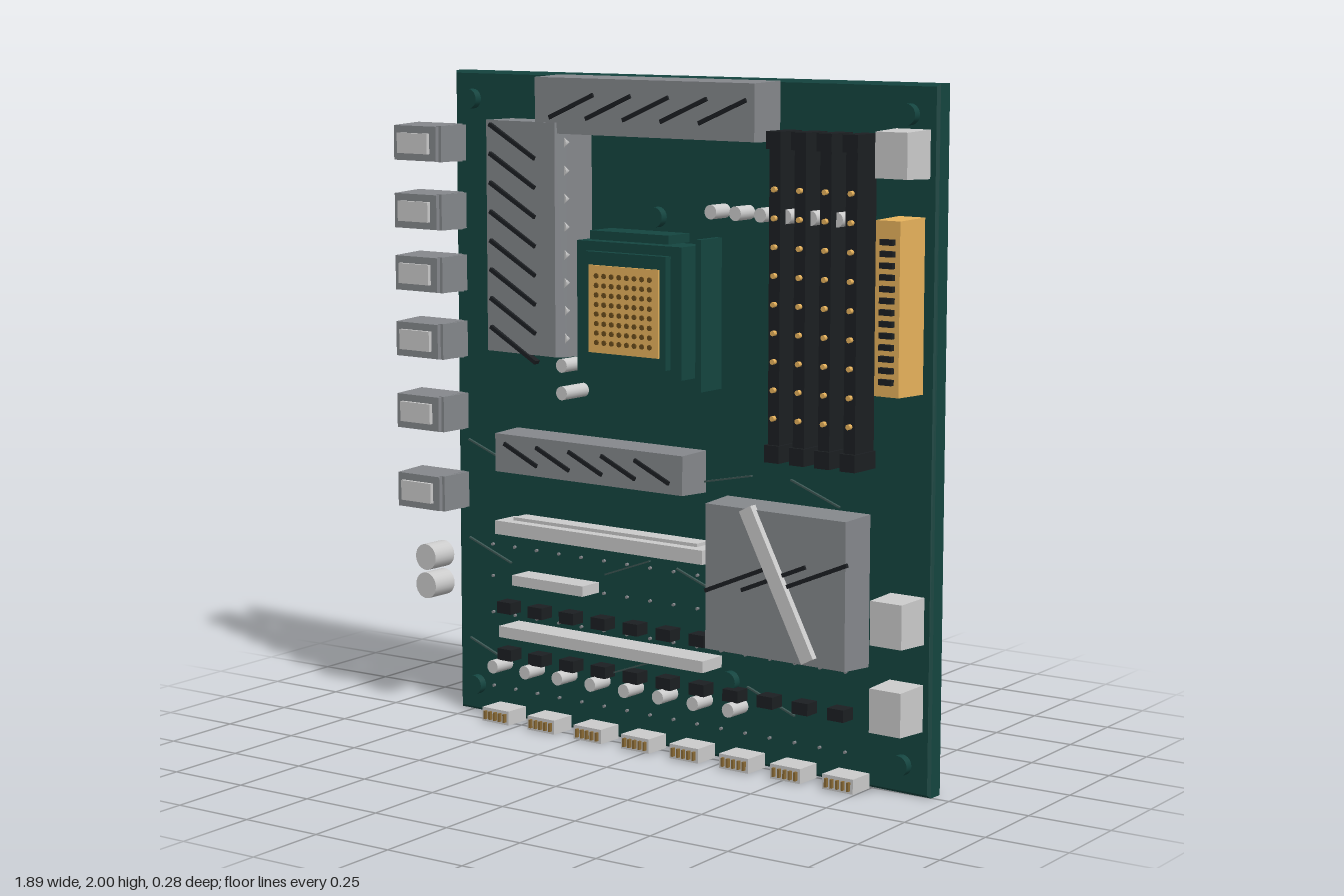
import * as THREE from 'three';
import { mergeGeometries } from 'three/addons/utils/BufferGeometryUtils.js';

const TILT = 0.0524, CX = 0.0715;
const GREY = 0xcccccc, METAL = 0x85888c, TEAL = 0x144540, DARK = 0x1c1f22, GOLD = 0xe8b35c;

export function createModel() {
  const model = new THREE.Group();
  model.name = 'motherboard';
  // tilted frame whose z = 0 is the front face of the board
  const frame = new THREE.Group();
  frame.name = 'tiltedBoard';
  frame.position.set(CX, 0, -0.035);
  frame.rotation.y = -TILT;
  model.add(frame);

  const range = (n, f) => Array.from({ length: n }, (_, i) => f(i));
  const place = (g, x, y, z, rot = 0) => g.rotateZ(rot).translate(x - CX + TILT * z, y, z);

  // block from depth z0 to z1 with its front face shrunk by inset
  const block = (x, y, w, h, z0, z1, inset = 0, rot = 0) => {
    const g = new THREE.BoxGeometry(w, h, z1 - z0);
    const p = g.attributes.position;
    if (inset) {
      for (let i = 0; i < p.count; i++) {
        if (p.getZ(i) > 0) {
          p.setX(i, p.getX(i) * (1 - 2 * inset / w));
          p.setY(i, p.getY(i) * (1 - 2 * inset / h));
        }
      }
      g.computeVertexNormals();
    }
    return place(g, x, y, (z0 + z1) / 2, rot);
  };
  // upright cylinder standing off the board
  const post = (x, y, r, z0, z1, sides = 16) =>
    place(new THREE.CylinderGeometry(r, r, z1 - z0, sides).rotateX(Math.PI / 2), x, y, (z0 + z1) / 2);

  const part = (name, color, ...geos) => {
    const mesh = new THREE.Mesh(mergeGeometries(geos.flat()),
      new THREE.MeshStandardMaterial({ color }));
    mesh.name = name;
    frame.add(mesh);
    return mesh;
  };

  // board with a fine bevel
  const B = 0.008, hw = 0.873 - B;
  const outline = new THREE.Shape([[-hw, B], [hw, B], [hw, 2 - B], [-hw, 2 - B]]
    .map(([x, y]) => new THREE.Vector2(x, y)));
  part('board', TEAL, new THREE.ExtrudeGeometry(outline, {
    depth: 0.062 - 2 * B, bevelSize: B, bevelThickness: B, bevelSegments: 1,
  }).translate(0, 0, -0.062 + B));

  // mounting screws
  part('screws', TEAL, [[-0.727, 1.915], [0.853, 1.915], [-0.727, 0.085], [0.853, 0.085],
    [-0.015, 1.59], [0.255, 0.24]].map(([x, y]) => post(x, y, 0.03, -0.01, 0.025, 20)));

  // upper heat sink
  part('upperHeatSink', METAL, block(0.012, 1.91, 0.805, 0.172, 0, 0.12, 0.004));
  part('upperHeatSinkFins', DARK, range(5, i => block(-0.25 + i * 0.137, 1.91, 0.18, 0.012, 0.11, 0.126, 0, 0.4)));

  // side heat sink: sloped profile run vertically
  const profile = new THREE.Shape([[-0.58, 0], [-0.27, 0], [-0.285, 0.1], [-0.31, 0.125], [-0.58, 0.118]]
    .map(([x, z]) => new THREE.Vector2(x - CX, -z)));
  part('sideHeatSink', METAL, new THREE.ExtrudeGeometry(profile, { depth: 0.695, bevelEnabled: false })
    .rotateX(-Math.PI / 2).translate(0.005, 1.165, 0));
  part('sideHeatSinkFins', DARK, range(8, i => block(-0.475, 1.8 - i * 0.087, 0.2, 0.012, 0.11, 0.13, 0, -0.5)));

  // lower heat sink
  part('lowerHeatSink', METAL, block(-0.203, 0.853, 0.72, 0.125, 0, 0.11, 0.004));
  part('lowerHeatSinkFins', DARK, range(5, i => block(-0.46 + i * 0.125, 0.855, 0.14, 0.012, 0.1, 0.117, 0, -0.42)));

  // chipset heat sink with crossing bar
  part('chipsetHeatSink', METAL, block(0.484, 0.57, 0.498, 0.44, 0, 0.115, 0.006));
  part('chipsetFins', DARK, [[0.35, 0.575], [0.48, 0.593], [0.62, 0.615]]
    .map(([x, y]) => block(x, y, 0.24, 0.012, 0.11, 0.122, 0, 0.4)));
  part('chipsetBar', GREY, block(0.5, 0.58, 0.045, 0.47, 0.11, 0.135, 0, 0.485));

  // processor socket
  part('processorSocket', TEAL, block(-0.043, 1.325, 0.386, 0.386, 0, 0.11), block(-0.043, 1.325, 0.3, 0.33, 0.11, 0.135),
    block(-0.05, 1.535, 0.29, 0.026, 0, 0.1), block(0.202, 1.322, 0.02, 0.44, 0, 0.1));
  part('processorPlate', GOLD, block(-0.043, 1.323, 0.257, 0.257, 0.13, 0.143));
  part('processorContacts', 0x6b4d1c, range(64, i =>
    post(-0.141 + (i % 8) * 0.028, 1.225 + Math.floor(i / 8) * 0.028, 0.008, 0.14, 0.147, 8)));

  // memory slots with end latches and contacts
  const slotX = range(4, i => 0.465 + i * 0.086);
  part('memorySlots', DARK, slotX.map(x => [block(x, 1.393, 0.038, 0.9, 0, 0.095),
    block(x, 1.835, 0.05, 0.05, 0, 0.105), block(x, 0.948, 0.05, 0.05, 0, 0.105)]).flat());
  part('memoryContacts', GOLD, slotX.map(x => range(9, i => post(x, 1.05 + i * 0.081, 0.008, 0.09, 0.108, 8))).flat());

  // rear ports overhanging the board edge
  const portY = [1.78, 1.572, 1.38, 1.175, 0.95, 0.702];
  part('rearPorts', METAL, portY.map(y => [block(-0.858, y, 0.18, 0.116, 0.01, 0.128, 0.005),
    block(-0.772, y, 0.02, 0.11, 0, 0.115)]).flat());
  part('portInserts', GREY, portY.map(y => block(-0.863, y, 0.122, 0.062, 0.12, 0.14)));
  part('audioJacks', GREY, [0.49, 0.4].map(y => post(-0.857, y, 0.041, 0.012, 0.1, 24)));

  // right edge connectors
  part('edgeConnectors', GREY, [1.808, 0.507, 0.257].map(y => block(0.86, y, 0.112, 0.135, 0, 0.11, 0.004)));
  part('powerConnector', GOLD, block(0.859, 1.39, 0.085, 0.49, 0, 0.12, 0.003));
  part('powerConnectorPins', DARK, range(13, i => block(0.859, 1.19 + i * 0.032, 0.042, 0.016, 0.11, 0.135)));

  // expansion slots
  part('expansionSlots', GREY, block(-0.18, 0.617, 0.79, 0.042, 0, 0.095), block(-0.18, 0.643, 0.7, 0.01, 0, 0.06),
    block(-0.383, 0.455, 0.277, 0.032, 0, 0.08), block(-0.173, 0.292, 0.78, 0.035, 0, 0.095));

  // bottom headers with pins
  const headerX = range(8, i => -0.58 + i * 0.182);
  part('bottomHeaders', GREY, headerX.map(x => block(x, 0.022, 0.105, 0.044, 0.01, 0.095)));
  part('headerPins', 0x8a6a35, headerX.map(x => range(5, i => block(x - 0.038 + i * 0.019, 0.022, 0.007, 0.026, 0.09, 0.106))).flat());

  // small chips and capacitors
  part('chips', DARK, [0.355, 0.207].map(y => range(11, i => block(-0.58 + i * 0.1235, y, 0.055, 0.036, 0, 0.05))).flat());
  part('capacitors', GREY, range(8, i => post(-0.607 + i * 0.1287, 0.17, 0.021, 0, 0.075)),
    range(6, i => post(0.223 + i * 0.087, 1.62, 0.021, 0, 0.07)),
    range(10, i => post(-0.302, 1.055 + i * 0.083, 0.021, 0, 0.105)));

  // solder points and copper traces
  part('solderPoints', METAL, [0.54, 0.44, 0.325, 0.09].map(y =>
    range(16, i => post(-0.66 + i * 0.088, y, 0.005, 0, 0.008, 6))).flat());
  const traces = [[-0.67, 0.83, -0.35], [0.24, 0.84, 0.2], [0.55, 0.83, -0.35], [-0.67, 0.52, -0.35],
    [-0.13, 0.53, 0.35], [0.14, 0.52, -0.35], [-0.67, 0.2, -0.35], [-0.13, 0.22, 0.35], [0.4, 0.2, -0.35]];
  part('traces', 0x3c5552, traces.map(([x, y, a]) => block(x, y, 0.18, 0.005, 0, 0.008, 0, a)));

  return model;
}
